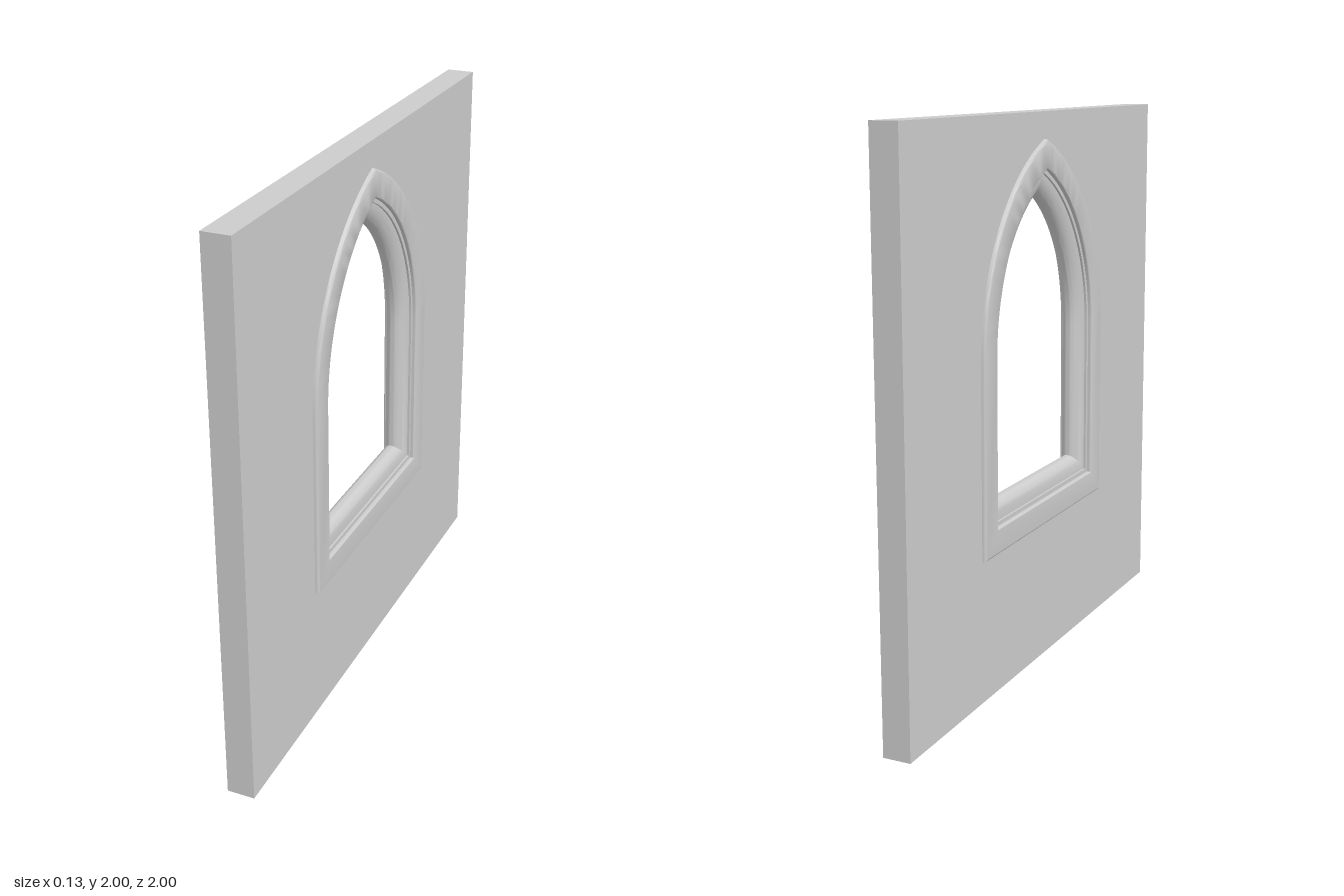
import * as THREE from 'three';
import { toCreasedNormals } from 'three/addons/utils/BufferGeometryUtils.js';

const SPRING = 1.195;   // height where the arch begins
const CENTRE = 0.262;   // arc centres lie this far past the middle line
const SILL = 1.005;     // sill height = SILL - half width
const ARC_STEPS = 24;

// Pointed-arch outline of half width w in the (z, y) plane, counterclockwise.
// All outlines are concentric, so they have matching points.
function archOutline(w) {
  const r = w + CENTRE, end = Math.acos(CENTRE / r);
  const right = [];
  for (let i = 0; i <= ARC_STEPS; i++) {
    const t = end * i / ARC_STEPS;
    right.push(new THREE.Vector2(r * Math.cos(t) - CENTRE, SPRING + r * Math.sin(t)));
  }
  const left = right.slice(0, -1).reverse().map(p => new THREE.Vector2(-p.x, p.y));
  return [new THREE.Vector2(-w, SILL - w), new THREE.Vector2(w, SILL - w), ...right, ...left];
}

// Quarter ellipse from angle a to a + 90 degrees, as (half width, x) pairs
function quarter(cw, cx, rw, rx, a, n) {
  return Array.from({ length: n + 1 }, (_, i) => {
    const t = a + Math.PI / 2 * i / n;
    return [cw + rw * Math.cos(t), cx + rx * Math.sin(t)];
  });
}

// Moulding section: raised band, narrow ledge, then a half-round lip
function mouldingProfile() {
  const front = [
    [0.495, 0.04],
    ...quarter(0.483, 0.053, 0.012, 0.012, 0, 4),
    ...quarter(0.406, 0.059, 0.006, 0.006, Math.PI / 2, 4),
    [0.40, 0.05],
    [0.385, 0.05],
    ...quarter(0.385, 0, 0.065, 0.042, Math.PI / 2, 10),
  ];
  const back = front.slice(0, -1).reverse().map(([w, x]) => [w, -x]);
  return [...front, ...back];
}

// Sweep the section round the opening
function mouldingGeometry() {
  const profile = mouldingProfile();
  const positions = [], index = [];
  let n = 0;
  for (const [w, x] of profile) {
    const loop = archOutline(w);
    n = loop.length;
    for (const p of loop) positions.push(x, p.y, p.x);
  }
  for (let i = 0; i < profile.length - 1; i++) {
    for (let j = 0; j < n; j++) {
      const k = (j + 1) % n;
      const a = i * n + j, b = (i + 1) * n + j, c = (i + 1) * n + k, d = i * n + k;
      index.push(a, b, c, a, c, d);
    }
  }
  const g = new THREE.BufferGeometry();
  g.setAttribute('position', new THREE.Float32BufferAttribute(positions, 3));
  g.setIndex(index);
  return toCreasedNormals(g, 0.6);
}

// Square wall slab with an arched hole, hidden behind the moulding
function wallGeometry() {
  const shape = new THREE.Shape([[-1, 0], [1, 0], [1, 2], [-1, 2]].map(p => new THREE.Vector2(...p)));
  shape.holes.push(new THREE.Path(archOutline(0.45).reverse()));
  const g = new THREE.ExtrudeGeometry(shape, { depth: 0.1, bevelEnabled: false });
  return g.translate(0, 0, -0.05).rotateY(-Math.PI / 2);
}

export function createModel() {
  const group = new THREE.Group();
  group.name = 'archedWindowWall';
  const material = new THREE.MeshStandardMaterial({ color: 0xcccccc });
  const add = (name, geometry) => {
    const mesh = new THREE.Mesh(geometry, material);
    mesh.name = name;
    group.add(mesh);
  };
  add('wall', wallGeometry());
  add('windowFrame', mouldingGeometry());
  return group;
}
